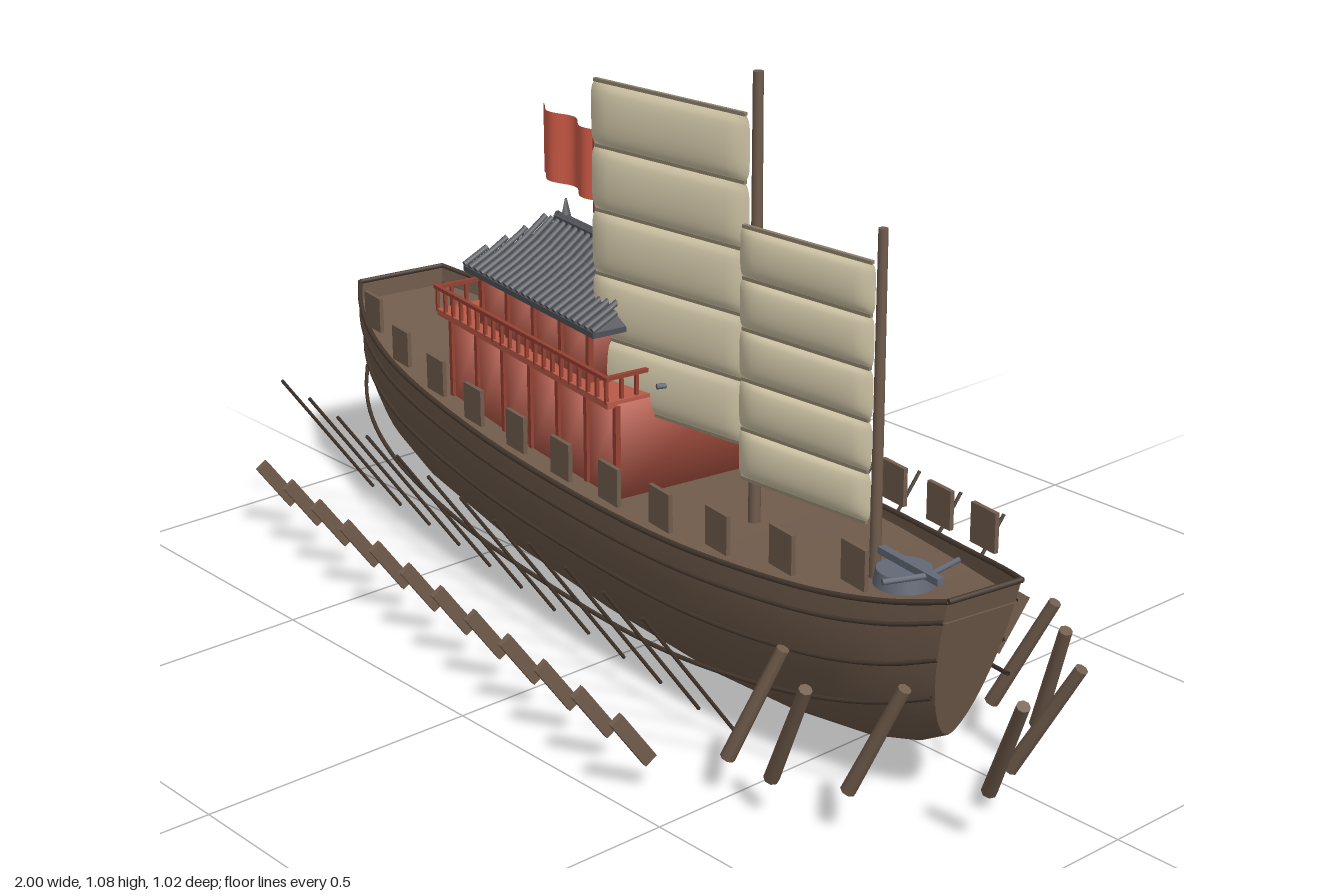
import * as THREE from 'three';

const mat = (name, color) => {
  const m = new THREE.MeshStandardMaterial({ color, side: THREE.DoubleSide });
  m.name = name;
  return m;
};
const M = {
  hull: mat('hull wood', 0x725d4d), dark: mat('dark timber', 0x45382e), mast: mat('mast wood', 0x705c4c),
  red: mat('red wall', 0xbb5a48), trim: mat('dark red trim', 0x984234), flag: mat('flag red', 0xde624c),
  roof: mat('roof tile', 0x4f5157), metal: mat('grey metal', 0x646a76), sail: mat('sail cloth', 0xdfd3b3), batten: mat('batten', 0x8a7f68),
};
const V = (x, y, z) => new THREE.Vector3(x, y, z);

function add(parent, name, geo, material, x = 0, y = 0, z = 0) {
  const m = new THREE.Mesh(geo, material);
  m.name = name;
  m.position.set(x, y, z);
  parent.add(m);
  return m;
}
const box = (p, name, w, h, d, material, x, y, z) => add(p, name, new THREE.BoxGeometry(w, h, d), material, x, y, z);

// Box with softly blended normals
function softBox(p, name, w, h, d, material, x, y, z) {
  const g = new THREE.BoxGeometry(w, h, d), pos = g.attributes.position;
  for (let i = 0; i < pos.count; i++) {
    const n = V(Math.sign(pos.getX(i)), Math.sign(pos.getY(i)), Math.sign(pos.getZ(i))).normalize();
    g.attributes.normal.setXYZ(i, n.x, n.y, n.z);
  }
  return add(p, name, g, material, x, y, z);
}

// Round bar between two points
function rod(p, name, a, b, r, material, sides = 8, r2 = r) {
  const d = b.clone().sub(a);
  const m = add(p, name, new THREE.CylinderGeometry(r2, r, d.length(), sides), material);
  m.position.copy(a).add(b).multiplyScalar(0.5);
  m.quaternion.setFromUnitVectors(V(0, 1, 0), d.normalize());
  return m;
}
const tube = (p, name, pts, r, material) =>
  add(p, name, new THREE.TubeGeometry(new THREE.CatmullRomCurve3(pts), 60, r, 6), material);

// Skin over rows of points
function skin(rows, flat = false) {
  const n = rows[0].length, idx = [];
  for (let i = 0; i < rows.length - 1; i++)
    for (let j = 0; j < n - 1; j++) {
      const a = i * n + j, b = a + n;
      idx.push(a, a + 1, b, a + 1, b + 1, b);
    }
  let g = new THREE.BufferGeometry().setFromPoints(rows.flat());
  g.setIndex(idx);
  if (flat) g = g.toNonIndexed();
  g.computeVertexNormals();
  return g;
}

// Hull stations: position, half beam, rim height, keel height, section fullness, rake
const ST = [
  [-0.92, 0.093, 0.4, 0.13, 0.7, 0], [-0.85, 0.13, 0.385, 0.1, 0.8, 0], [-0.75, 0.165, 0.365, 0.07, 0.9, 0],
  [-0.6, 0.19, 0.34, 0.038, 1, 0], [-0.3, 0.205, 0.318, 0.008, 1.1, 0], [0, 0.202, 0.31, 0, 1.15, 0],
  [0.3, 0.192, 0.318, 0.006, 1.15, 0], [0.5, 0.175, 0.334, 0.026, 1.15, 0], [0.7, 0.143, 0.357, 0.06, 1.15, 0.02],
  [0.83, 0.108, 0.382, 0.095, 1.15, 0.05], [0.915, 0.071, 0.405, 0.13, 1.2, 0.075],
];
const hullPoint = ([u, b, top, keel, e, rake], a) => {
  const d = Math.abs(Math.cos(a));
  const depth = Math.sin(a);
  return V(u - rake * depth, top - (top - keel) * depth, Math.sign(Math.cos(a)) * b * d ** e);
};
// Half beam and rim height at any position along the hull
function at(u) {
  let i = 0;
  while (i < ST.length - 2 && ST[i + 1][0] < u) i++;
  const t = (u - ST[i][0]) / (ST[i + 1][0] - ST[i][0]);
  const mix = k => ST[i][k] + (ST[i + 1][k] - ST[i][k]) * t;
  return { beam: mix(1), top: mix(2) };
}

function buildHull(ship) {
  const g = new THREE.Group();
  g.name = 'hull';
  ship.add(g);
  const rows = ST.map(s => Array.from({ length: 25 }, (_, i) => hullPoint(s, Math.PI * i / 24)));
  add(g, 'planking', skin(rows), M.hull);
  for (const [name, r] of [['sternTransom', rows[0]], ['bowTransom', rows[rows.length - 1]]])
    add(g, name, skin([r.slice(0, 13), r.slice(12).reverse()], true), M.hull);
  add(g, 'deck', skin(ST.map(([u, b, top]) => {
    const y = top - 0.015 - 0.25 * (top - 0.31);
    return [V(u * 0.995, y, b * 0.985), V(u * 0.995, y, -b * 0.985)];
  })), M.hull);
  // Rim, wales and the standing-off side rail
  for (const s of [1, -1]) {
    tube(g, 'rim', ST.map(([u, b, top]) => V(u, top, s * b)), 0.005, M.dark);
    for (const d of [0.14, 0.4])
      tube(g, 'wale', ST.map(st => { const p = hullPoint(st, Math.asin(d)); p.z *= s; return p; }), 0.004, M.dark);
    tube(g, 'sideRail', ST.map(([u, b, top, keel]) =>
      V(u * 0.97, top - 0.62 * (top - keel), s * b * 1.06)), 0.004, M.dark);
  }
  for (const st of [ST[0], ST[ST.length - 1]])
    rod(g, 'endRim', V(st[0], st[2], st[1]), V(st[0], st[2], -st[1]), 0.005, M.dark);
  // Shields along both rims
  for (const s of [1, -1])
    for (let i = 0; i < 11; i++) {
      const u = -0.712 + i * 0.147, { beam, top } = at(u);
      box(g, 'shield', 0.06, 0.068, 0.008, M.hull, u, top + 0.053, s * beam);
    }
}

function buildOars(ship) {
  for (const s of [1, -1])
    for (let i = 0; i < 12; i++) {
      const u = -0.73 + i * 0.1145;
      rod(ship, 'oarShaft', V(u, 0.045, s * 0.18), V(u, 0.305, s * 0.364), 0.0032, M.dark, 6);
      box(ship, 'oarBlade', 0.01, 0.11, 0.025, M.hull, u, 0.098, s * 0.384).rotation.x = s * 0.62;
    }
}

function buildHouse(ship) {
  const g = new THREE.Group();
  g.name = 'deckHouse';
  ship.add(g);
  const cx = -0.185;
  // Walls in bays
  for (let i = 0; i < 6; i++) softBox(g, 'lowerHouseBay', 0.095, 0.175, 0.27, M.red, cx + (i - 2.5) * 0.095, 0.385, 0);
  for (let i = 0; i < 4; i++) softBox(g, 'upperHouseBay', 0.0925, 0.125, 0.25, M.red, cx + (i - 1.5) * 0.0925, 0.535, 0);
  box(g, 'upperDeck', 0.59, 0.012, 0.31, M.red, cx - 0.01, 0.473, 0);
  // Pillars, beams and gallery railing on each long side
  for (const s of [1, -1]) {
    for (let i = 0; i <= 6; i++) box(g, 'lowerPillar', 0.01, 0.17, 0.01, M.trim, cx + (i - 3) * 0.0945, 0.385, s * 0.136);
    for (let i = 0; i <= 4; i++) box(g, 'upperPillar', 0.01, 0.11, 0.01, M.trim, cx + (i - 2) * 0.0915, 0.535, s * 0.126);
    box(g, 'eaveBeam', 0.38, 0.01, 0.01, M.trim, cx, 0.572, s * 0.128);
    const rx = cx - 0.015;
    box(g, 'rail', 0.6, 0.007, 0.008, M.trim, rx, 0.52, s * 0.152);
    box(g, 'endRail', 0.008, 0.007, 0.31, M.trim, rx + s * 0.292, 0.52, 0);
    for (let i = 0; i <= 20; i++) box(g, 'railPost', 0.006, 0.048, 0.006, M.trim, rx + (i - 10) * 0.0292, 0.498, s * 0.152);
    for (let i = 1; i < 10; i++) box(g, 'endPost', 0.006, 0.048, 0.006, M.trim, rx + s * 0.292, 0.498, (i - 5) * 0.0304);
  }
  // Concave hipped roof
  const rx = -0.176;
  const prof = [[0.222, 0.148, 0.577], [0.222, 0.148, 0.587], [0.19, 0.1, 0.612], [0.155, 0.053, 0.641], [0.125, 0.01, 0.674]];
  const ring = ([w, d, y]) => [[1, 1], [1, -1], [-1, -1], [-1, 1], [1, 1]].map(([a, b]) => V(rx + a * w, y, b * d));
  add(g, 'roof', skin(prof.map(ring), true), M.roof);
  box(g, 'eaveSoffit', 0.44, 0.004, 0.294, M.roof, rx, 0.578, 0);
  box(g, 'ridge', 0.26, 0.014, 0.022, M.roof, rx, 0.676, 0);
  // Tile ribs, the outer ones reaching a little past the hips
  for (const s of [1, -1]) {
    for (let i = 0; i < 22; i++) {
      const du = (i - 10.5) * 0.0208;
      for (let k = 1; k < 4; k++) {
        const [w0, d0, y0] = prof[k], [w1, d1, y1] = prof[k + 1];
        const t = Math.min(1, (w0 + 0.03 - Math.abs(du)) / (w0 - w1));
        if (t < 0.1) continue;
        rod(g, 'tileRib', V(rx + du, y0 + 0.003, s * d0),
          V(rx + du, y0 + (y1 - y0) * t + 0.003, s * (d0 + (d1 - d0) * t)), 0.006, M.roof, 6);
      }
    }
    rod(g, 'ridgeHorn', V(rx + s * 0.12, 0.675, s * 0.01), V(rx + s * 0.14, 0.706, s * 0.022), 0.011, M.roof, 6, 0.002);
  }
  // Flag
  rod(g, 'flagPole', V(-0.18, 0.66, 0), V(-0.18, 0.872, 0), 0.004, M.trim);
  const rows = [0.74, 0.87].map(y => Array.from({ length: 25 }, (_, i) =>
    V(-0.18 - i * 0.207 / 24, y, 0.011 * Math.sin(i / 24 * Math.PI * 3.4) - 0.01 * i / 24)));
  add(g, 'flag', skin(rows), M.flag);
}

// Bolt thrower on a round base
function buildThrower(ship, u, y) {
  const g = new THREE.Group();
  g.name = 'boltThrower';
  g.position.set(u, y, 0);
  ship.add(g);
  add(g, 'turntable', new THREE.CylinderGeometry(0.045, 0.05, 0.025, 24), M.metal, 0, 0.012, 0);
  box(g, 'stock', 0.15, 0.012, 0.014, M.metal, 0.015, 0.034, 0);
  for (const s of [1, -1]) rod(g, 'bowArm', V(0.06, 0.034, 0), V(0.04, 0.034, s * 0.075), 0.005, M.metal);
}

// Battened sail of billowing panels, given by its two lower corners
function buildSail(root, name, a, b, y0, y1) {
  const g = new THREE.Group();
  g.name = name;
  const w = Math.hypot(b[0] - a[0], b[1] - a[1]), h = (y1 - y0) / 5;
  g.position.set((a[0] + b[0]) / 2, y0, (a[1] + b[1]) / 2);
  g.rotation.y = -Math.atan2(b[1] - a[1], b[0] - a[0]);
  root.add(g);
  // One face of a panel: rounded corners, swelling towards the middle
  const face = s => skin(Array.from({ length: 13 }, (_, j) => {
    const t = 1 - j / 6, half = w / 2 * (1 - 0.05 * Math.abs(t) ** 6);
    return Array.from({ length: 17 }, (_, i) => {
      const p = 1 - i / 8;
      return V(-s * p * half, t * h * 0.495, s * 0.013 * Math.sqrt((1 - t * t) * (1 - p ** 4)));
    });
  }).reverse());
  for (let i = 0; i < 5; i++)
    for (const s of [1, -1]) add(g, 'panel', face(s), M.sail, 0, h * (i + 0.5), 0);
  for (let i = 0; i <= 5; i++) box(g, 'batten', w * 0.95, 0.006, 0.007, M.batten, 0, h * i, 0);
}

export function createModel() {
  const root = new THREE.Group();
  root.name = 'warship';
  const ship = new THREE.Group();
  ship.name = 'ship';
  ship.position.set(-0.075, 0, 0.01);
  ship.rotation.y = -0.14;
  root.add(ship);
  buildHull(ship);
  buildOars(ship);
  buildHouse(ship);
  buildThrower(ship, 0.09, 0.468);
  buildThrower(ship, 0.72, 0.345);

  // Masts and sails
  rod(root, 'mainMast', V(0.236, 0.28, 0.054), V(0.236, 1.08, 0.054), 0.011, M.mast, 12, 0.009);
  rod(root, 'foreMast', V(0.564, 0.3, 0.1), V(0.564, 0.905, 0.1), 0.01, M.mast, 12, 0.008);
  buildSail(root, 'mainSail', [-0.13, 0.095], [0.222, 0.058], 0.437, 1.005);
  buildSail(root, 'foreSail', [0.262, 0.115], [0.546, 0.095], 0.41, 0.843);

  // Loose spars around the bow: low end, high end, low height
  for (const [x0, z0, x1, z1, y] of [
    [0.54, -0.14, 0.605, -0.078, 0.075], [0.66, -0.082, 0.755, -0.116, 0.08], [0.775, -0.062, 0.848, -0.034, 0.09],
    [0.858, 0.095, 0.965, 0.066, 0.1], [0.885, 0.172, 0.988, 0.222, 0.1], [0.715, 0.304, 0.806, 0.281, 0.08],
    [0.595, 0.352, 0.695, 0.379, 0.07], [0.5, 0.357, 0.572, 0.308, 0.07]])
    rod(root, 'spar', V(x0, y, z0), V(x1, y + 0.2, z1), 0.013, M.hull, 8, 0.011);
  return root;
}
